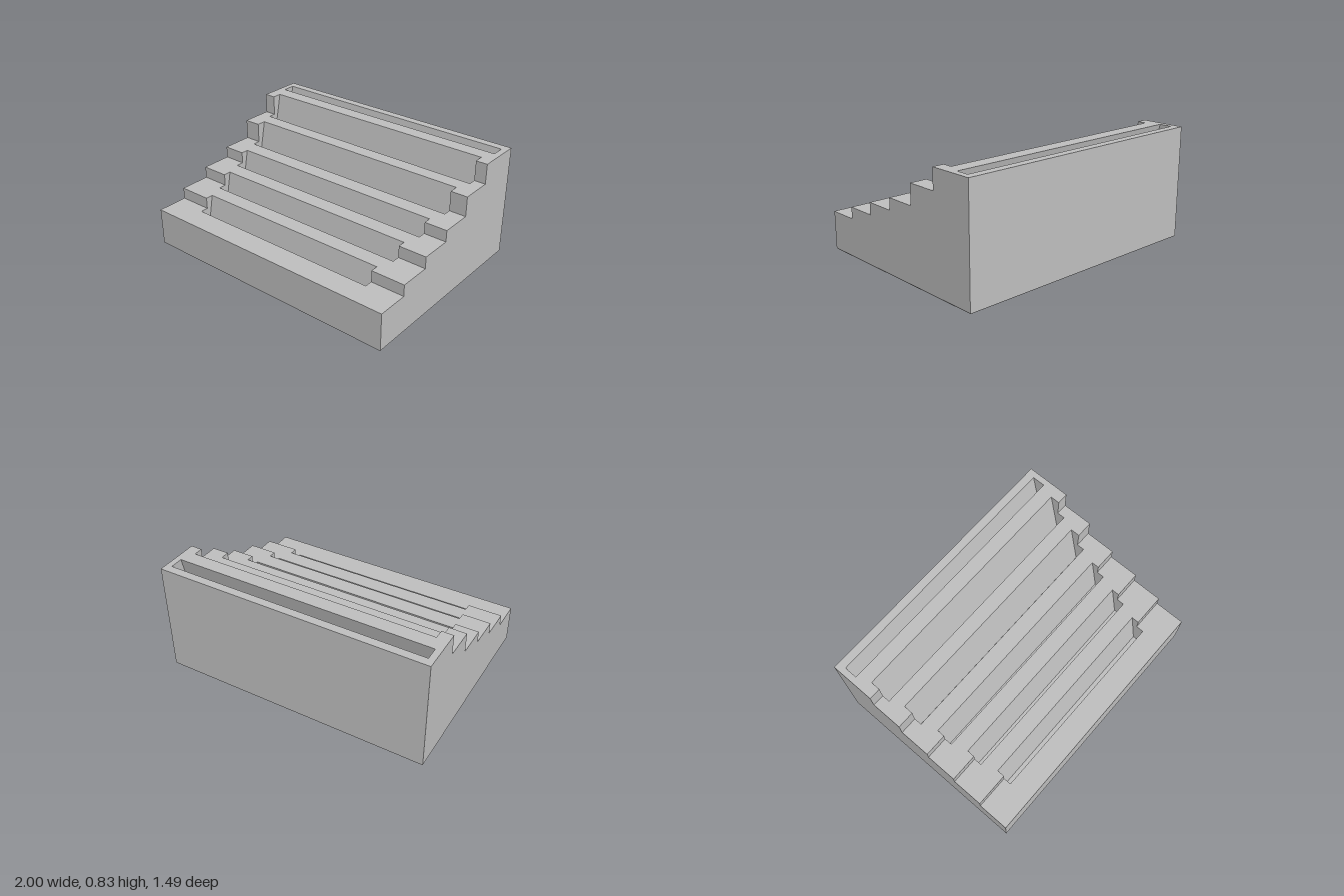
import * as THREE from 'three';
import { mergeGeometries } from 'three/addons/utils/BufferGeometryUtils.js';

const HALF = 1, FRONT = 0.743, BACK = -0.743, FOOT = 0.006;
const TREAD = 0.2312;                                  // tread depth
const HEIGHTS = [0.283, 0.368, 0.455, 0.54, 0.687, 0.835];
const SLOT_HALF = [0.75, 0.793, 0.832, 0.874, 0.915, 0.955];
const LEAN = 0.21, DEPTH = 0.2;                        // slot lean and depth below tread
const SLOT_FRONT = 0.174, SLOT_BACK = 0.27;            // slot mouth, behind the tread's front edge

// Flat strip between two profile points [z, y], running from x0 to x1
function band(x0, x1, [z0, y0], [z1, y1]) {
  const g = new THREE.BufferGeometry();
  g.setAttribute('position', new THREE.Float32BufferAttribute(
    [x0, y0, z0, x1, y0, z0, x1, y1, z1, x0, y0, z0, x1, y1, z1, x0, y1, z1], 3));
  g.computeVertexNormals();
  return g;
}

// Pair of strips left and right of a central gap
const sideBands = (gap, a, b) => [band(-HALF, -gap, a, b), band(gap, HALF, a, b)];

// Flat polygon of [z, y] points at a given x, facing +x or -x
function sideFace(points, x, facing) {
  const shape = new THREE.Shape(points.map(([z, y]) => new THREE.Vector2(z, y)));
  const g = new THREE.ShapeGeometry(shape).toNonIndexed();
  const p = g.attributes.position, out = [];
  for (let i = 0; i < p.count; i += 3) {
    const order = facing > 0 ? [0, 2, 1] : [0, 1, 2];
    for (const k of order) out.push(x, p.getY(i + k), p.getX(i + k));
  }
  const face = new THREE.BufferGeometry();
  face.setAttribute('position', new THREE.Float32BufferAttribute(out, 3));
  face.computeVertexNormals();
  return face;
}

export function createModel() {
  const group = new THREE.Group();
  const grey = new THREE.MeshStandardMaterial({ color: 0xc0c0c0 });
  grey.name = 'grey';
  const add = (name, geometry) => {
    const mesh = new THREE.Mesh(geometry, grey);
    mesh.name = name;
    group.add(mesh);
    return mesh;
  };

  const last = HEIGHTS.length - 1;
  const treads = [], risers = [], profile = [[FRONT, FOOT]];

  HEIGHTS.forEach((y, i) => {
    const z = FRONT - i * TREAD, w = SLOT_HALF[i];
    const zEnd = i < last ? z - TREAD : BACK;
    const low = i ? HEIGHTS[i - 1] : FOOT;
    profile.push([z, y], [zEnd, y]);

    // Riser and tread, notched by the slot of the step below
    let zBody = z;
    if (i) {
      zBody = z + TREAD - SLOT_BACK - (y - low) * LEAN;
      risers.push(...sideBands(SLOT_HALF[i - 1], [z, low], [z, y]));
      treads.push(...sideBands(SLOT_HALF[i - 1], [z, y], [zBody, y]));
    } else {
      risers.push(band(-HALF, HALF, [z, low], [z, y]));
    }
    const zMouth = z - SLOT_FRONT;
    const zMouthEnd = i < last ? zEnd : z - SLOT_BACK;
    treads.push(band(-HALF, HALF, [zBody, y], [zMouth, y]));
    treads.push(...sideBands(w, [zMouth, y], [zMouthEnd, y]));
    if (i === last) treads.push(band(-HALF, HALF, [zMouthEnd, y], [BACK, y]));

    // Leaning slot: front wall, floor, back wall and two ends
    const yTop = i < last ? HEIGHTS[i + 1] : y;
    const shift = DEPTH * LEAN;
    const section = [
      [zMouth, y],
      [zMouth + shift, y - DEPTH],
      [z - SLOT_BACK + shift, y - DEPTH],
      [z - SLOT_BACK - (yTop - y) * LEAN, yTop],
    ];
    const walls = [0, 1, 2].map((k) => band(-w, w, section[k], section[k + 1]));
    const end = i < last ? [...section, [zEnd, yTop], [zEnd, y]] : section;
    walls.push(sideFace(end, -w, 1), sideFace(end, w, -1));
    add('slot' + (i + 1), mergeGeometries(walls));
  });

  profile.push([BACK, FOOT]);
  add('treads', mergeGeometries(treads));
  add('risers', mergeGeometries(risers));
  add('leftSide', sideFace(profile, HALF, 1));
  add('rightSide', sideFace(profile, -HALF, -1));
  add('backWall', band(-HALF, HALF, [BACK, HEIGHTS[last]], [BACK, FOOT]));

  // Underside with a fine chamfer around its edge
  const foot = new THREE.CylinderGeometry(Math.SQRT2, Math.SQRT2 * 0.995, FOOT, 4).toNonIndexed();
  foot.rotateY(Math.PI / 4);
  foot.scale(HALF, 1, FRONT);
  foot.translate(0, FOOT / 2, 0);
  foot.computeVertexNormals();
  add('base', foot);

  return group;
}
